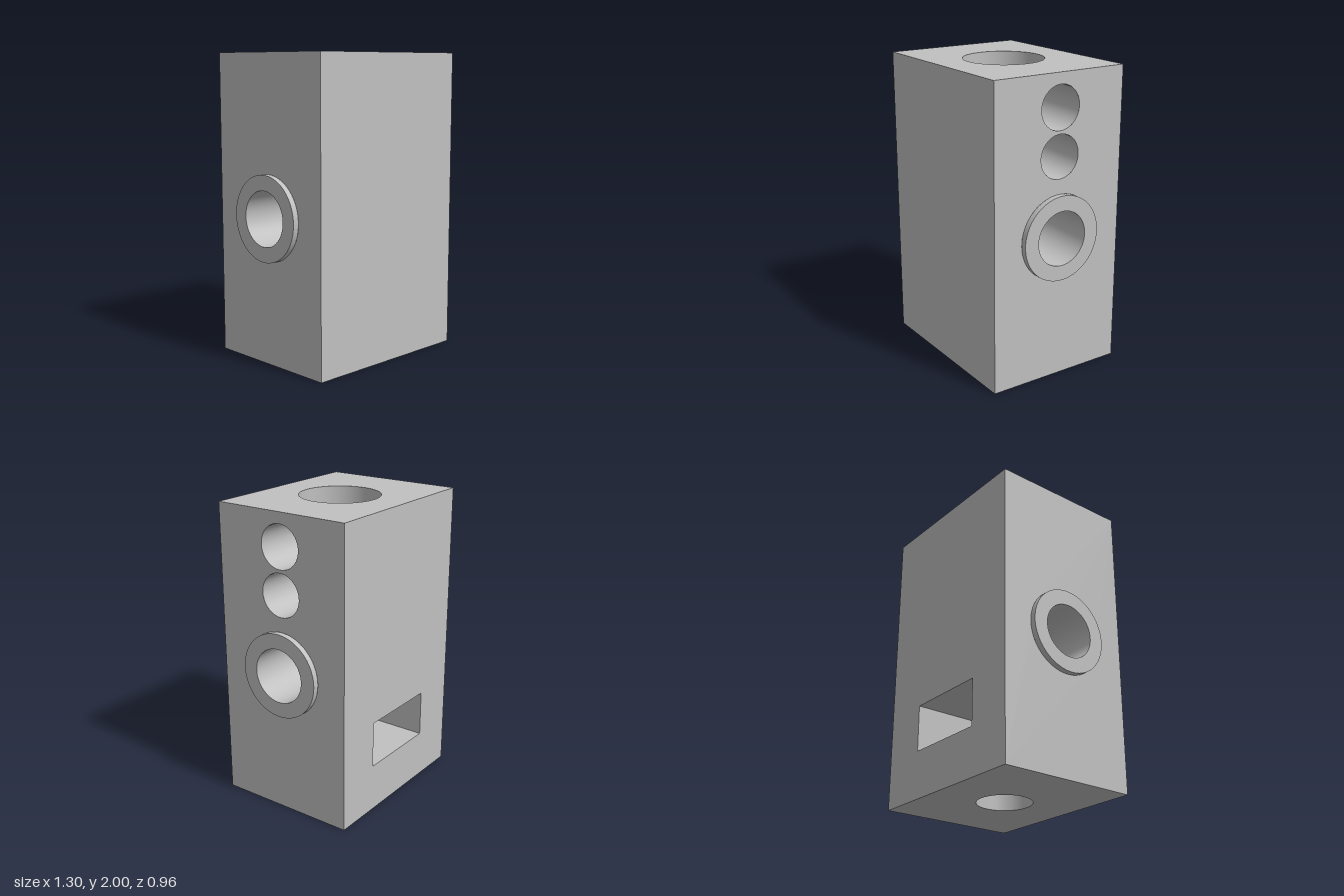
import * as THREE from 'three';

const W = 0.61, H = 2, D = 0.48;                 // half width, height, half depth
const BORE = 0.265, BORE_FLOOR = 1.25;           // blind bore from the top
const PORT = 0.142, PORT_Y = [1.48, 1.785];      // small ports into the bore
const CROSS = 0.18, CROSS_Y = 0.96;              // cross bore and lower passage
const RING = 0.28, RING_X = 0.65;                // flanges on both sides
const SLOT = { x: 0.29, y0: 0.32, y1: 0.63, z: 0.29 };
const PI = Math.PI;

export function createModel() {
  const model = new THREE.Group();
  model.name = 'valveBlock';
  const metal = new THREE.MeshStandardMaterial({ color: 0xc0c0c0, side: THREE.DoubleSide });
  metal.name = 'light grey metal';

  function add(name, geometry) {
    const mesh = new THREE.Mesh(geometry, metal);
    mesh.name = name;
    model.add(mesh);
    return mesh;
  }

  // Flat rectangle with round holes [u, v, radius] and an optional rectangular hole
  function panel(name, w, h, position, rotation, holes = [], rect = null) {
    const box = (x0, y0, x1, y1) => [[x0, y0], [x1, y0], [x1, y1], [x0, y1]].map(p => new THREE.Vector2(...p));
    const shape = new THREE.Shape(box(-w / 2, -h / 2, w / 2, h / 2));
    for (const [u, v, r] of holes) {
      const path = new THREE.Path();
      path.absarc(u, v, r, 0, 2 * PI, true);
      shape.holes.push(path);
    }
    if (rect) shape.holes.push(new THREE.Path(box(...rect)));
    const mesh = add(name, new THREE.ShapeGeometry(shape, 72));
    mesh.position.set(...position);
    mesh.rotation.set(...rotation);
  }

  // Smooth strip between two edge curves a(t) and b(t)
  function strip(name, t0, t1, a, b, n = 72) {
    const pos = [], index = [];
    for (let i = 0; i <= n; i++) {
      const t = t0 + (t1 - t0) * i / n;
      pos.push(...a(t), ...b(t));
      if (i < n) {
        const k = 2 * i;
        index.push(k, k + 2, k + 1, k + 1, k + 2, k + 3);
      }
    }
    const g = new THREE.BufferGeometry();
    g.setAttribute('position', new THREE.Float32BufferAttribute(pos, 3));
    g.setIndex(index);
    g.computeVertexNormals();
    add(name, g);
  }

  // Outer faces of the block
  const crossHole = [0, CROSS_Y - 1, RING];
  panel('frontFace', 2 * W, H, [0, 1, D], [0, 0, 0]);
  panel('backFace', 2 * W, H, [0, 1, -D], [0, PI, 0], [],
    [-SLOT.x, SLOT.y0 - 1, SLOT.x, SLOT.y1 - 1]);
  panel('leftFace', 2 * D, H, [W, 1, 0], [0, PI / 2, 0],
    [crossHole, ...PORT_Y.map(y => [0, y - 1, PORT])]);
  panel('rightFace', 2 * D, H, [-W, 1, 0], [0, -PI / 2, 0], [crossHole]);
  panel('topFace', 2 * W, 2 * D, [0, H, 0], [-PI / 2, 0, 0], [[0, 0, BORE]]);
  panel('bottomFace', 2 * W, 2 * D, [0, 0, 0], [PI / 2, 0, 0], [[0, 0, CROSS]]);

  // Flanges around the cross bore
  for (const s of [1, -1]) {
    const rim = add('flangeRim', new THREE.CylinderGeometry(RING, RING, RING_X - W, 72, 1, true));
    rim.rotation.z = PI / 2;
    rim.position.set(s * (W + RING_X) / 2, CROSS_Y, 0);
    const face = add('flangeFace', new THREE.RingGeometry(CROSS, RING, 72));
    face.rotation.y = s * PI / 2;
    face.position.set(s * RING_X, CROSS_Y, 0);
  }

  // Top bore wall, opened where the two ports enter it
  const onBore = y => t => [BORE * Math.cos(t), y(t), BORE * Math.sin(t)];
  const half = Math.asin(PORT / BORE);
  const portEdge = (y, s) => t => y + s * Math.sqrt(Math.max(0, PORT ** 2 - (BORE * Math.sin(t)) ** 2));
  strip('boreWall', half, 2 * PI - half, onBore(() => BORE_FLOOR), onBore(() => H));
  const levels = [() => BORE_FLOOR, ...PORT_Y.flatMap(y => [portEdge(y, -1), portEdge(y, 1)]), () => H];
  for (let i = 0; i < levels.length; i += 2) {
    strip('boreWallAtPorts', -half, half, onBore(levels[i]), onBore(levels[i + 1]), 48);
  }
  const floor = add('boreFloor', new THREE.CircleGeometry(BORE, 72));
  floor.rotation.x = -PI / 2;
  floor.position.y = BORE_FLOOR;

  // Ports from the left face into the bore
  for (const y of PORT_Y) {
    const point = (x, t) => [x, y + PORT * Math.sin(t), PORT * Math.cos(t)];
    strip('portWall', 0, 2 * PI,
      t => point(W, t),
      t => point(Math.sqrt(BORE ** 2 - (PORT * Math.cos(t)) ** 2), t));
  }

  // Cross bore, its lower half opened by the vertical passage
  const onCross = x => t => [x(t), CROSS_Y + CROSS * Math.sin(t), CROSS * Math.cos(t)];
  strip('crossBoreTop', 0, PI, onCross(() => RING_X), onCross(() => -RING_X));
  for (const s of [1, -1]) {
    strip('crossBoreBottom', PI, 2 * PI,
      onCross(() => s * RING_X), onCross(t => s * CROSS * Math.abs(Math.sin(t))));
  }

  // Vertical passage from the underside through the slot to the cross bore
  const onPassage = y => t => [CROSS * Math.cos(t), y(t), CROSS * Math.sin(t)];
  strip('lowerPassage', 0, 2 * PI, onPassage(() => 0), onPassage(() => SLOT.y0));
  strip('upperPassage', 0, 2 * PI, onPassage(() => SLOT.y1),
    onPassage(t => CROSS_Y - CROSS * Math.abs(Math.cos(t))));

  // Rectangular slot in the back
  const depth = SLOT.z + D, midZ = (SLOT.z - D) / 2;
  const slotH = SLOT.y1 - SLOT.y0, midY = (SLOT.y0 + SLOT.y1) / 2;
  panel('slotFloor', 2 * SLOT.x, depth, [0, SLOT.y0, midZ], [-PI / 2, 0, 0], [[0, midZ, CROSS]]);
  panel('slotCeiling', 2 * SLOT.x, depth, [0, SLOT.y1, midZ], [PI / 2, 0, 0], [[0, -midZ, CROSS]]);
  panel('slotEnd', 2 * SLOT.x, slotH, [0, midY, SLOT.z], [0, PI, 0]);
  for (const s of [1, -1]) {
    panel('slotSide', depth, slotH, [s * SLOT.x, midY, midZ], [0, -s * PI / 2, 0]);
  }
  return model;
}
